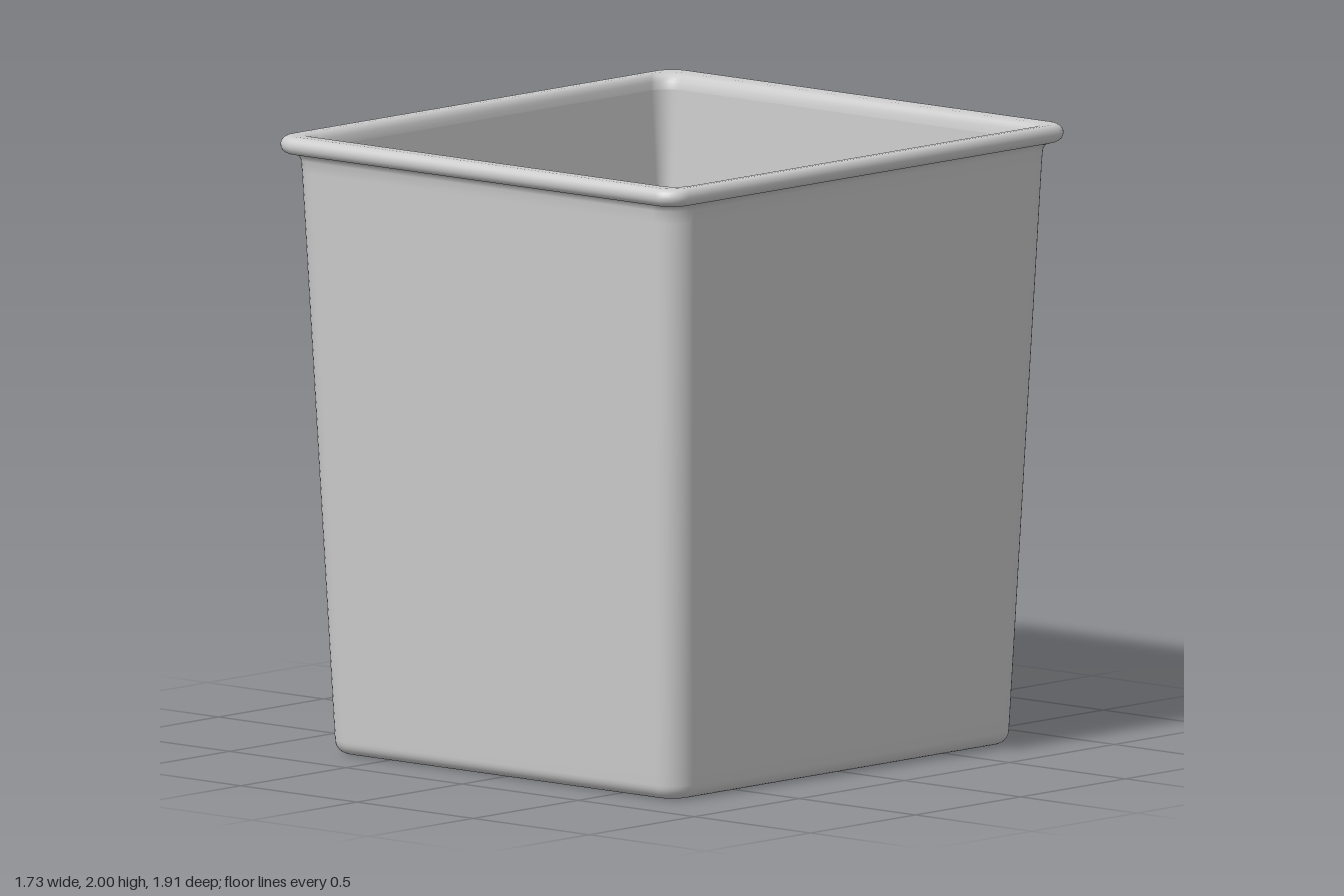
import * as THREE from 'three';

const material = new THREE.MeshStandardMaterial({ color: 0xcccccc });
const CORNER_STEPS = 8;

// Rounded rectangle in the xz plane; section = [half width, half depth, y, corner radius]
function ring([hx, hz, y, r]) {
  const points = [];
  for (let c = 0; c < 4; c++) {
    const sx = c === 0 || c === 3 ? 1 : -1;
    const sz = c < 2 ? 1 : -1;
    for (let i = 0; i <= CORNER_STEPS; i++) {
      const a = (c + i / CORNER_STEPS) * Math.PI / 2;
      points.push(sx * (hx - r) + r * Math.cos(a), y, sz * (hz - r) + r * Math.sin(a));
    }
  }
  return points;
}

// Skin through the sections; the first or last one can be closed with a flat cap
function loft(name, sections, { capStart = false, capEnd = false } = {}) {
  const n = 4 * (CORNER_STEPS + 1);
  const positions = sections.flatMap(ring);
  const index = [];
  for (let s = 0; s < sections.length - 1; s++) {
    for (let i = 0; i < n; i++) {
      const a = s * n + i, b = s * n + (i + 1) % n;
      index.push(a, a + n, b, b, a + n, b + n);
    }
  }
  const cap = (s, flip) => {
    const centre = positions.length / 3;
    positions.push(0, sections[s][2], 0);
    for (let i = 0; i < n; i++) {
      const a = s * n + i, b = s * n + (i + 1) % n;
      index.push(centre, ...(flip ? [a, b] : [b, a]));
    }
  };
  if (capStart) cap(0, true);
  if (capEnd) cap(sections.length - 1, false);
  const geometry = new THREE.BufferGeometry();
  geometry.setAttribute('position', new THREE.Float32BufferAttribute(positions, 3));
  geometry.setIndex(index);
  geometry.computeVertexNormals();
  const mesh = new THREE.Mesh(geometry, material);
  mesh.name = name;
  return mesh;
}

export function createModel() {
  const model = new THREE.Group();
  model.name = 'squareBin';

  // Underside, rounded bottom edge, tapered outer walls and rolled rim, down to the mouth
  const outside = [[0.715, 0.785, 0, 0.055]];
  for (let i = 1; i <= 6; i++) {
    const a = i / 6 * Math.PI / 2;
    outside.push([
      0.715 + 0.04 * Math.sin(a), 0.785 + 0.04 * Math.sin(a),
      0.045 - 0.045 * Math.cos(a), 0.055 + 0.035 * Math.sin(a)]);
  }
  outside.push(
    [0.757, 0.827, 0.09, 0.09],
    [0.827, 0.902, 1.88, 0.09],
    [0.829, 0.905, 1.92, 0.09],
    [0.834, 0.912, 1.937, 0.085]);
  // Rolled bead of the rim
  for (let i = 0; i <= 10; i++) {
    const a = (i / 10 - 0.5) * Math.PI;
    outside.push([
      0.843 + 0.023 * Math.cos(a), 0.926 + 0.028 * Math.cos(a),
      1.971 + 0.029 * Math.sin(a), 0.065 + 0.012 * Math.cos(a)]);
  }
  outside.push(
    [0.822, 0.885, 1.999, 0.065],
    [0.808, 0.862, 1.992, 0.065],
    [0.799, 0.851, 1.975, 0.065],
    [0.796, 0.847, 1.95, 0.065]);
  model.add(loft('outerShellAndRim', outside, { capStart: true }));

  // Tapered inner walls, their corners tightening below the mouth
  const floor = [0.71, 0.77, 0.12, 0.03];
  model.add(loft('innerWalls', [
    [0.796, 0.847, 1.95, 0.065],
    [0.778, 0.831, 1.57, 0.04],
    [0.713, 0.773, 0.19, 0.032],
    floor]));

  // Flat inner floor with a crisp edge
  model.add(loft('innerFloor', [floor], { capEnd: true }));

  return model;
}
